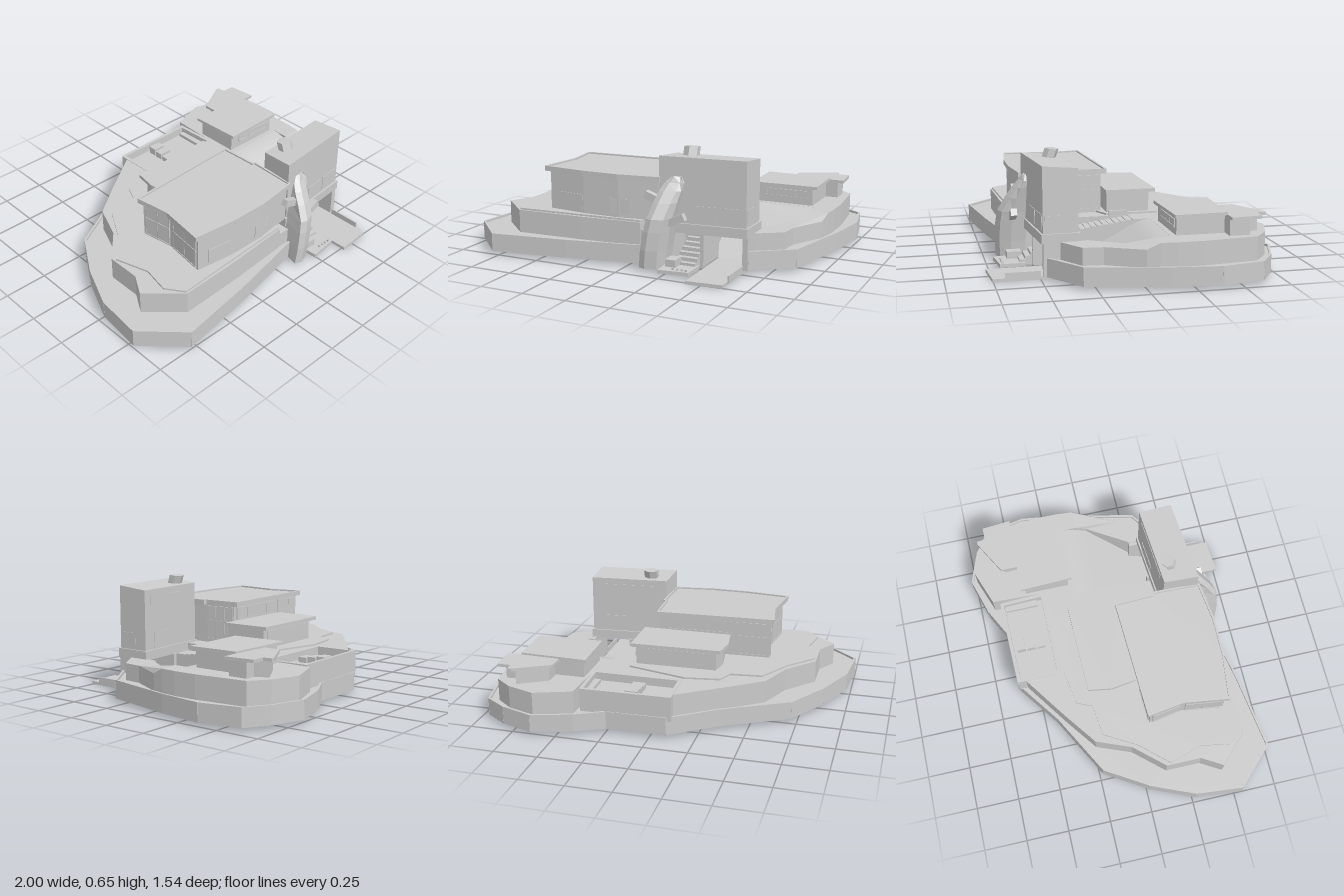
import * as THREE from 'three';

const mat = new THREE.MeshStandardMaterial({ color: 0xcccccc, flatShading: true });
const thin = new THREE.MeshStandardMaterial({ color: 0xcccccc, side: THREE.DoubleSide });

export function createModel() {
  const root = new THREE.Group();

  const add = (name, geo, m = mat, parent = root) => {
    const mesh = new THREE.Mesh(geo, m);
    mesh.name = name;
    parent.add(mesh);
    return mesh;
  };
  // prism over a plan outline of [x, z] points
  const slab = (name, pts, y0, y1) => {
    const shape = new THREE.Shape(pts.map(([x, z]) => new THREE.Vector2(x, -z)));
    const geo = new THREE.ExtrudeGeometry(shape, { depth: y1 - y0, bevelEnabled: false });
    geo.rotateX(-Math.PI / 2).translate(0, y0, 0);
    return add(name, geo);
  };
  // box given by its limits
  const box = (name, x0, x1, y0, y1, z0, z1) => {
    const mesh = add(name, new THREE.BoxGeometry(x1 - x0, y1 - y0, z1 - z0));
    mesh.position.set((x0 + x1) / 2, (y0 + y1) / 2, (z0 + z1) / 2);
  };
  // thin upright wall along a plan path
  const wall = (name, pts, y0, y1, t = 0.012) => {
    const g = new THREE.Group();
    g.name = name;
    for (let i = 0; i + 1 < pts.length; i++) {
      const [ax, az] = pts[i], [bx, bz] = pts[i + 1];
      const geo = new THREE.BoxGeometry(Math.hypot(bx - ax, bz - az) + t * 0.6, y1 - y0, t);
      const m = add(name + 'Part', geo, mat, g);
      m.position.set((ax + bx) / 2, (y0 + y1) / 2, (az + bz) / 2);
      m.rotation.y = -Math.atan2(bz - az, bx - ax);
    }
    root.add(g);
  };
  // plain flush window between two plan points
  const pane = (name, a, b, y0, y1) => wall(name, [a, b], y0, y1, 0.006);
  // window row with sill, head and mullions
  const windowBand = (name, a, b, y0, y1, panes) => {
    const t = 0.008;
    pane(name + 'Glass', a, b, y0, y1);
    wall(name + 'Sill', [a, b], y0 - t, y0, 0.012);
    wall(name + 'Head', [a, b], y1, y1 + t, 0.012);
    for (let i = 0; i <= panes; i++) {
      const x = a[0] + (b[0] - a[0]) * i / panes, z = a[1] + (b[1] - a[1]) * i / panes;
      box(name + 'Mullion', x - t / 2, x + t / 2, y0, y1, z - t / 2, z + t / 2);
    }
  };

  // lower terrace, notched where the driveway and stairs enter
  const rim = [[0.65, 0.465], [0.86, 0.315], [0.955, -0.11], [0.993, -0.38], [0.945, -0.615], [0.82, -0.7],
    [0.635, -0.765], [0.415, -0.7], [0.25, -0.615], [-0.09, -0.61], [-0.355, -0.42], [-0.715, -0.225],
    [-0.865, 0.02], [-0.97, 0.27], [-0.995, 0.54], [-0.785, 0.75], [-0.345, 0.685], [0.14, 0.59]];
  slab('lowerTerrace', [...rim, [0.2, 0.575], [0.22, 0.35], [0.365, 0.33], [0.365, -0.16], [0.8, -0.16],
    [0.795, 0], [0.64, 0.25]], 0.02, 0.11);
  wall('lowerParapet', rim, 0.02, 0.123);

  // upper terrace, cut for the driveway and courtyard stairs, and its raised lawn
  slab('upperTerrace', [[-0.69, 0.62], [-0.3, 0.605], [0.06, 0.578], [0.1, 0.35], [0.25, 0.335], [0.25, -0.06],
    [0.365, -0.06], [0.365, -0.16], [0.8, -0.16], [0.92, -0.16], [0.92, -0.3], [0.89, -0.6], [0.79, -0.68],
    [0.63, -0.735], [0.42, -0.66], [0.41, -0.36], [-0.11, -0.36], [-0.12, -0.56], [-0.38, -0.38], [-0.57, -0.24],
    [-0.65, -0.04], [-0.8, 0.13], [-0.8, 0.33], [-0.87, 0.45]], 0.1, 0.24);
  slab('lawn', [[-0.69, 0.61], [0.06, 0.57], [0.14, 0.1], [0.23, 0.06], [0.23, -0.24], [-0.12, -0.33], [-0.32, -0.3],
    [-0.36, -0.21], [-0.54, -0.19], [-0.65, 0], [-0.79, 0.155], [-0.73, 0.35], [-0.76, 0.51]], 0.23, 0.25);
  box('terraceEndWall', 0.055, 0.13, 0.1, 0.2, 0.35, 0.575);

  // right-hand terrace, dipping towards the front
  const strip = slab('sideTerrace', [[0.8, -0.16], [0.8, -0.07], [0.795, 0], [0.64, 0.25], [0.65, 0.4], [0.79, 0.31],
    [0.8, 0.2], [0.9, 0], [0.912, -0.07], [0.92, -0.16]], 0.1, 0.24);
  const sp = strip.geometry.attributes.position;
  for (let i = 0; i < sp.count; i++)
    if (sp.getY(i) > 0.2) sp.setY(i, 0.205 + 0.035 * THREE.MathUtils.clamp(-sp.getZ(i) / 0.07, 0, 1));
  strip.geometry.computeVertexNormals();

  // driveway: flat floor, then a sweep up behind the tower: [z, left x, right x, y]
  slab('drivewayFloor', [[0.42, 0.77], [0.62, 0.755], [0.615, -0.06], [0.41, 0.1]], 0, 0.018);
  const rows = [[0.31, 0.39, 0.63, 0.015], [0.25, 0.37, 0.64, 0.05], [0, 0.365, 0.795, 0.18], [-0.04, 0.365, 0.797, 0.202],
    [-0.08, 0.365, 0.8, 0.221], [-0.12, 0.365, 0.8, 0.234], [-0.165, 0.365, 0.8, 0.24]];
  const verts = [], idx = [];
  rows.forEach(([z, l, r, y], i) => {
    verts.push(l, y, z, r, y, z);
    const k = i * 2;
    if (i) idx.push(k - 2, k - 1, k, k - 1, k + 1, k);
  });
  const ramp = new THREE.BufferGeometry();
  ramp.setAttribute('position', new THREE.Float32BufferAttribute(verts, 3));
  ramp.setIndex(idx);
  ramp.computeVertexNormals();
  add('drivewayRamp', ramp, thin);
  box('drivewayKerb', 0.62, 0.628, 0.01, 0.05, 0.5, 0.69);

  // garage walls, entrance stairs and courtyard stairs
  box('garageRightWall', 0.62, 0.65, 0.02, 0.2, 0.24, 0.49);
  box('garageLeftWall', 0.385, 0.405, 0.02, 0.2, 0.3, 0.51);
  box('stairHallLeftWall', 0.2, 0.22, 0.02, 0.2, 0.33, 0.53);
  box('stairHallBackWall', 0.2, 0.39, 0.02, 0.2, 0.315, 0.335);
  for (let i = 0; i < 8; i++) box('entranceStep', 0.27, 0.385, 0.02, 0.05 + i * 0.02, 0.34, 0.58 - i * 0.03);
  slab('entranceLanding', [[0.22, 0.55], [0.4, 0.55], [0.4, 0.69], [0.23, 0.71]], 0.015, 0.035);
  box('planter', 0.24, 0.3, 0.03, 0.075, 0.56, 0.64);
  for (let i = 0; i < 4; i++) box('bollard', 0.3 + i * 0.025, 0.31 + i * 0.025, 0.03, 0.045, 0.67, 0.68);
  box('courtyardFloor', 0.25, 0.365, 0.1, 0.196, -0.06, 0.33);
  for (let i = 0; i < 9; i++) box('courtyardStep', 0.25, 0.365, 0.19, 0.2 + i * 0.0045, -0.06, 0.24 - i * 0.033);
  box('courtyardWall', 0.235, 0.25, 0.22, 0.268, -0.06, 0.05);

  // tower with sloping top
  const tower = slab('tower', [[0.155, 0.535], [0.64, 0.49], [0.64, 0.3], [0.17, 0.337]], 0.24, 0.608);
  const tp = tower.geometry.attributes.position;
  for (let i = 0; i < tp.count; i++) if (tp.getY(i) > 0.5 && tp.getZ(i) < 0.4) tp.setY(i, 0.592);
  tower.geometry.computeVertexNormals();
  slab('towerBase', [[0.14, 0.545], [0.65, 0.5], [0.65, 0.29], [0.16, 0.33]], 0.197, 0.25);
  pane('towerFrontWindow', [0.36, 0.516], [0.47, 0.506], 0.27, 0.35);
  pane('towerFrontWindow', [0.5, 0.503], [0.62, 0.492], 0.27, 0.35);
  pane('towerSideWindow', [0.64, 0.38], [0.64, 0.48], 0.28, 0.345);
  pane('towerBackWindow', [0.24, 0.331], [0.59, 0.304], 0.5, 0.555);
  pane('towerBackDoor', [0.4, 0.318], [0.56, 0.306], 0.26, 0.35);
  // chimney sheared backwards
  const flue = new THREE.CylinderGeometry(0.046, 0.046, 0.065, 6);
  flue.applyMatrix4(new THREE.Matrix4().set(1, 0, 0, 0.28, 0, 1, 0.08, 0.612, 0, -0.35, 0.85, 0.39, 0, 0, 0, 1));
  add('chimney', flue);

  // main house with bowed front
  const bow = [[-0.53, 0.53], [-0.3, 0.56], [-0.08, 0.562], [0.15, 0.53]];
  slab('mainHouseWalls', [...bow, [0.145, 0.27], [0.13, 0.07], [-0.53, 0.09], [-0.5, 0.28]], 0.24, 0.47);
  const eaves = [[-0.555, 0.54], [-0.3, 0.571], [-0.08, 0.574], [0.155, 0.545], [0.163, 0.27], [0.148, 0.265],
    [0.14, 0.045], [-0.55, 0.075], [-0.52, 0.28]];
  slab('mainRoof', eaves, 0.465, 0.485);
  wall('mainRoofRim', [...eaves, eaves[0]], 0.465, 0.494);
  pane('houseFrontWindow', [-0.46, 0.54], [-0.31, 0.559], 0.27, 0.355);
  pane('houseFrontWindow', [-0.13, 0.562], [-0.02, 0.554], 0.27, 0.355);
  for (const [y0, y1] of [[0.265, 0.36], [0.375, 0.45]]) {
    windowBand('houseSideWindow', [0.146, 0.26], [0.132, 0.08], y0, y1, 3);
    windowBand('houseBackWindow', [-0.51, 0.088], [-0.33, 0.083], y0, y1, 3);
    windowBand('houseEndWindow', [-0.53, 0.11], [-0.503, 0.27], y0, y1, 2);
    windowBand('houseEndWindow', [-0.504, 0.31], [-0.529, 0.51], y0, y1, 2);
  }
  windowBand('houseBackWindow', [-0.3, 0.082], [0.1, 0.07], 0.39, 0.45, 4);

  // guest house
  const guest = [[-0.3, -0.22], [0.225, -0.23], [0.225, 0.06], [-0.3, 0.06], [-0.32, -0.09]];
  slab('guestHouseWalls', guest.map(([x, z]) => [x * 0.9, z * 0.85]), 0.24, 0.37);
  slab('guestRoof', guest, 0.363, 0.383);
  pane('guestBackWindow', [-0.23, -0.188], [0.16, -0.195], 0.28, 0.35);

  // right-hand pavilions
  box('pavilionWalls', 0.43, 0.78, 0.23, 0.345, -0.455, -0.19);
  slab('pavilionRoof', [[0.41, -0.48], [0.8, -0.465], [0.81, -0.175], [0.42, -0.165]], 0.338, 0.356);
  windowBand('pavilionFrontWindow', [0.5, -0.19], [0.75, -0.19], 0.285, 0.315, 3);
  slab('cornerPavilionWalls', [[0.6, -0.46], [0.6, -0.55], [0.76, -0.645], [0.79, -0.57], [0.85, -0.57], [0.85, -0.46]], 0.23, 0.335);
  slab('cornerPavilionRoof', [[0.57, -0.46], [0.57, -0.57], [0.77, -0.68], [0.79, -0.68], [0.795, -0.63],
    [0.87, -0.63], [0.885, -0.46]], 0.328, 0.345);

  // walled back patio with seats
  const patio = [[-0.105, -0.36], [-0.11, -0.6], [0.39, -0.61], [0.4, -0.36]];
  slab('patioFloor', patio, 0.1, 0.195);
  wall('patioWall', [...patio, patio[0]], 0.1, 0.243, 0.02);
  box('patioBench', 0.35, 0.39, 0.19, 0.215, -0.59, -0.4);
  for (let i = 0; i < 3; i++) box('patioSeat', 0.08, 0.155, 0.19, 0.24 - i * 0.008, -0.575 + i * 0.06, -0.525 + i * 0.06);

  // leaning carved pillar lofted from rings: [y, x min, x max, z back, z front]
  const rings = [[0.02, 0.1, 0.225, 0.53, 0.685], [0.12, 0.11, 0.235, 0.525, 0.69], [0.22, 0.125, 0.25, 0.52, 0.685],
    [0.29, 0.14, 0.262, 0.52, 0.675], [0.37, 0.16, 0.28, 0.52, 0.63], [0.43, 0.175, 0.295, 0.52, 0.59],
    [0.47, 0.195, 0.3, 0.52, 0.56], [0.503, 0.23, 0.285, 0.52, 0.54]];
  const pv = [], pi = [];
  rings.forEach(([y, x0, x1, z0, z1], i) => {
    const w = x1 - x0;
    pv.push(x0, y, z1 - 0.015, x0 + w * 0.3, y, z1, x1 - w * 0.2, y, z1 - 0.02, x1, y, (z0 + z1) / 2, x1, y, z0, x0 + w * 0.25, y, z0);
    if (i) for (let j = 0; j < 6; j++) {
      const a = (i - 1) * 6 + j, b = (i - 1) * 6 + (j + 1) % 6;
      pi.push(a, b, a + 6, b, b + 6, a + 6);
    }
  });
  const top = (rings.length - 1) * 6;
  for (let j = 1; j < 5; j++) pi.push(top, top + j, top + j + 1, 0, j + 1, j);
  const pillar = new THREE.BufferGeometry();
  pillar.setAttribute('position', new THREE.Float32BufferAttribute(pv, 3));
  pillar.setIndex(pi);
  pillar.computeVertexNormals();
  add('carvedPillar', pillar);
  for (const [x, y, z, tilt] of [[0.14, 0.385, 0.57, -0.35], [0.29, 0.285, 0.6, 0.45]]) {
    const stub = add('pillarBranch', new THREE.BoxGeometry(0.1, 0.04, 0.035));
    stub.position.set(x, y, z);
    stub.rotation.z = tilt;
  }
  return root;
}
